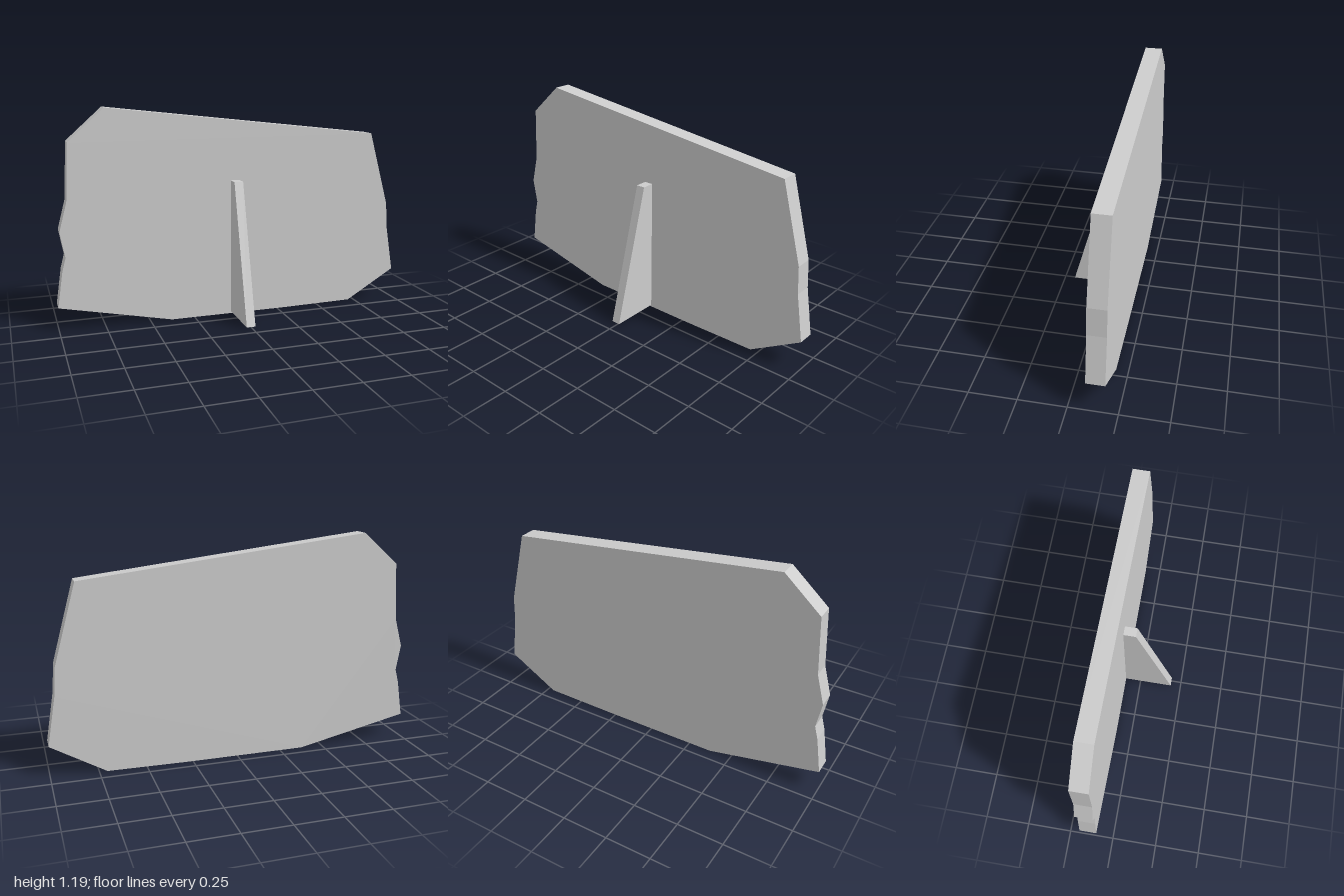
import * as THREE from 'three';

// Extrudes an outline of [x, y] points along z
function plate(points, depth) {
  const shape = new THREE.Shape(points.map(([x, y]) => new THREE.Vector2(x, y)));
  return new THREE.ExtrudeGeometry(shape, { depth, bevelEnabled: false });
}

export function createModel() {
  const grey = new THREE.MeshStandardMaterial({ color: 0xcccccc });
  grey.name = 'plain grey';
  const model = new THREE.Group();
  model.name = 'standingSlab';

  // Upright slab with an irregular, broken outline
  const slab = new THREE.Mesh(plate([
    [-0.38, 0.005], [0.28, 0.005], [0.71, 0.01], [1, 0.18], [0.957, 0.44], [0.947, 0.59],
    [0.83, 1.015], [-0.72, 1.195], [-0.915, 1.02], [-0.932, 0.71], [-0.975, 0.55],
    [-0.95, 0.41], [-0.97, 0.335], [-1, 0.137],
  ], 0.096), grey);
  slab.name = 'slab';
  slab.position.z = -0.187;
  model.add(slab);

  // Tapered support fin, drawn as (-z, y) and turned to run along z
  const fin = new THREE.Mesh(plate([
    [-0.19, 0.015], [0.1, 0.015], [0.1, 0.78], [0.023, 0.78],
  ], 0.05), grey);
  fin.name = 'supportFin';
  fin.rotation.y = Math.PI / 2;
  fin.position.x = -0.033;
  model.add(fin);

  return model;
}
